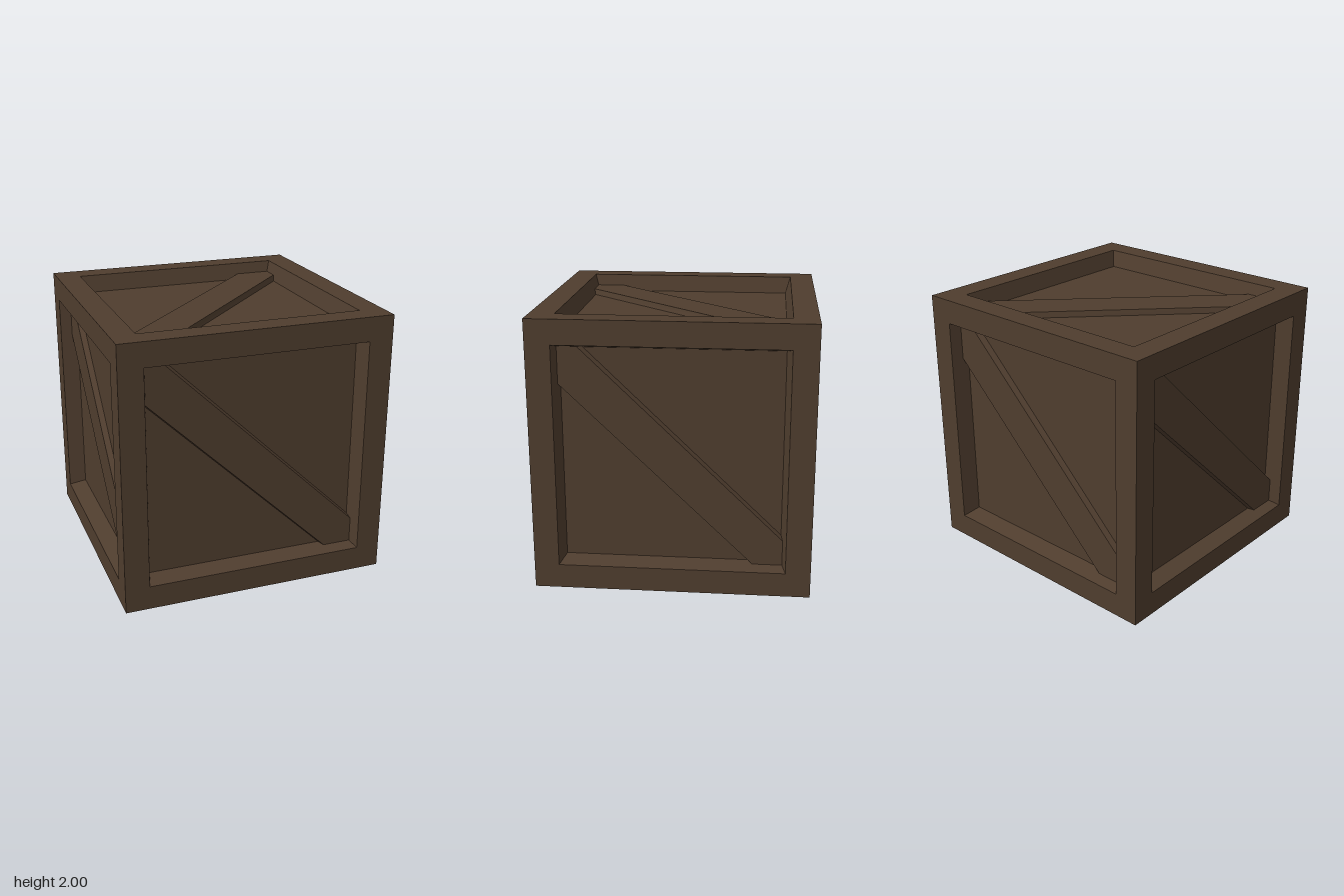
import * as THREE from 'three';

const wood = new THREE.MeshStandardMaterial({ color: 0x4f3d2e });
wood.name = 'darkWood';

const square = (r, z) => [[-r, -r, z], [r, -r, z], [r, r, z], [-r, r, z]];
const atDepth = (points, z) => points.map(([x, y]) => [x, y, z]);

// Flat-sided skin through counter-clockwise loops, optionally capped at the last one
function loft(loops, cap) {
  const pos = [];
  const tri = (...corners) => corners.forEach((p) => pos.push(...p));
  for (let k = 0; k + 1 < loops.length; k++) {
    const a = loops[k], b = loops[k + 1], n = a.length;
    for (let i = 0; i < n; i++) {
      const j = (i + 1) % n;
      tri(a[i], a[j], b[j]);
      tri(a[i], b[j], b[i]);
    }
  }
  if (cap) {
    const c = loops[loops.length - 1];
    for (let i = 1; i + 1 < c.length; i++) tri(c[0], c[i], c[i + 1]);
  }
  const geo = new THREE.BufferGeometry();
  geo.setAttribute('position', new THREE.Float32BufferAttribute(pos, 3));
  geo.computeVertexNormals();
  return geo;
}

function part(name, geo) {
  const mesh = new THREE.Mesh(geo, wood);
  mesh.name = name;
  return mesh;
}

export function createModel() {
  const crate = new THREE.Group();
  crate.name = 'crate';
  const floor = 0.872;

  // Recessed boards on all six sides
  const panels = part('panels', new THREE.BoxGeometry(2 * floor, 2 * floor, 2 * floor));
  panels.position.y = 1;
  crate.add(panels);

  // Raised border with sloping inner walls
  const frameGeo = loft([square(1, 1), square(0.82, 1), square(0.783, floor)], false);

  // Diagonal brace with bevelled long edges, trimmed to the border
  const foot = [[-0.783, 0.783], [-0.783, 0.498], [0.553, -0.783], [0.783, -0.783], [0.783, -0.578], [-0.62, 0.783]];
  const face = [[-0.795, 0.795], [-0.795, 0.525], [0.58, -0.795], [0.795, -0.795], [0.795, -0.605], [-0.655, 0.795]];
  const braceGeo = loft([atDepth(foot, floor), atDepth(face, 0.915)], true);

  // name, turn about x, turn about y, turn of the brace in its own plane
  const sides = [
    ['front', 0, 0, 0],
    ['left', 0, Math.PI / 2, 0],
    ['back', 0, Math.PI, 0],
    ['right', 0, -Math.PI / 2, 0],
    ['top', -Math.PI / 2, 0, -Math.PI / 2],
    ['bottom', Math.PI / 2, 0, 0],
  ];
  for (const [name, rx, ry, spin] of sides) {
    const side = new THREE.Group();
    side.name = name + 'Side';
    const brace = part(name + 'Brace', braceGeo);
    brace.rotation.z = spin;
    side.add(part(name + 'Frame', frameGeo), brace);
    side.rotation.set(rx, ry, 0);
    side.position.y = 1;
    crate.add(side);
  }
  return crate;
}
